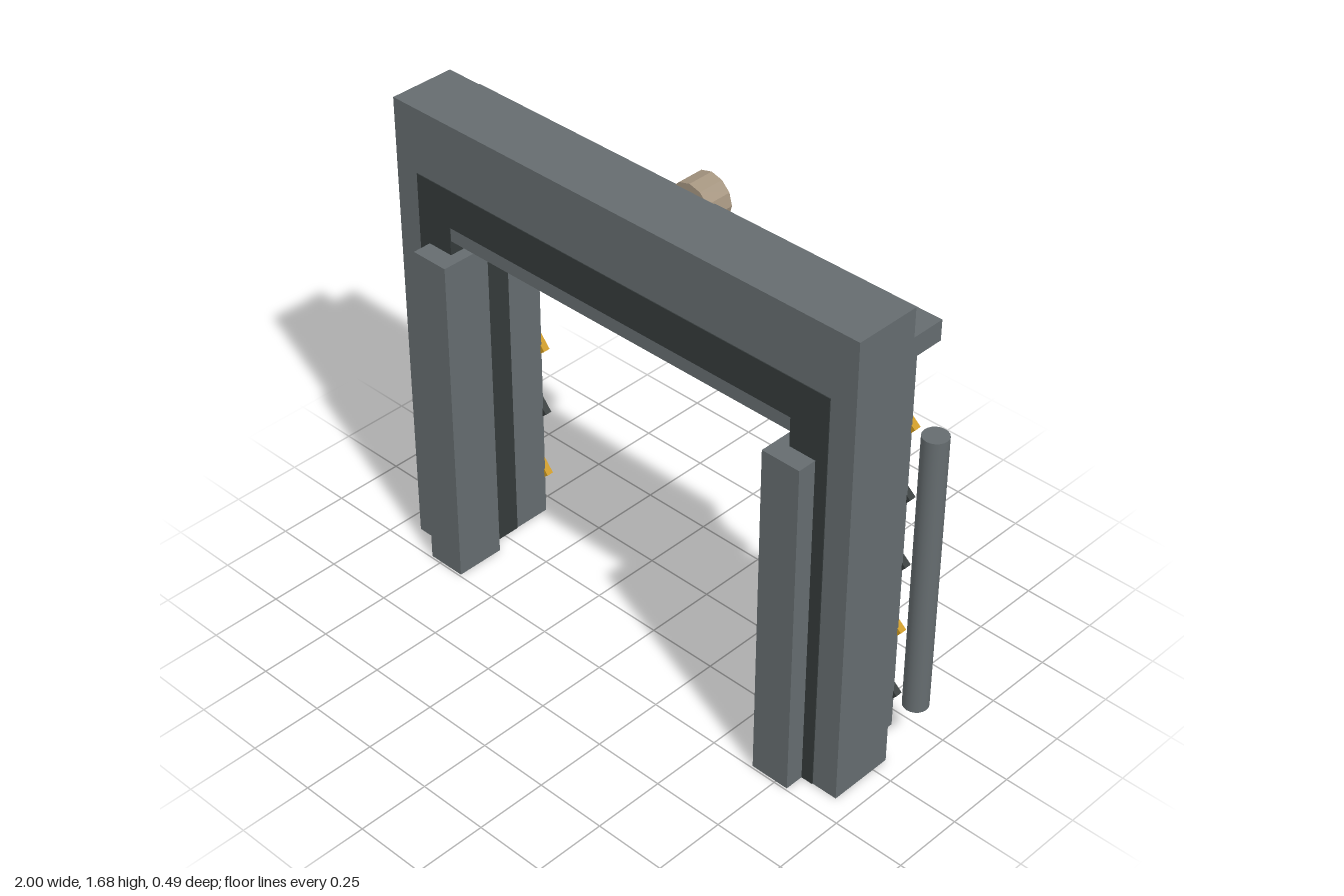
import * as THREE from 'three';

const mat = (name, color) => {
  const m = new THREE.MeshStandardMaterial({ color });
  m.name = name;
  return m;
};

export function createModel() {
  const grey = mat('steelGrey', 0x656c6f);
  const dark = mat('darkGrey', 0x343a3a);
  const yellow = mat('warningYellow', 0xcb981f);
  const tan = mat('lampTan', 0xa59580);
  const group = new THREE.Group();

  const add = (name, geometry, material, parent = group) => {
    const mesh = new THREE.Mesh(geometry, material);
    mesh.name = name;
    parent.add(mesh);
    return mesh;
  };
  // Box given by its lower and upper corners
  const box = (name, x0, x1, y0, y1, z0, z1, material) => {
    const mesh = add(name, new THREE.BoxGeometry(x1 - x0, y1 - y0, z1 - z0), material);
    mesh.position.set((x0 + x1) / 2, (y0 + y1) / 2, (z0 + z1) / 2);
    return mesh;
  };
  // Upside-down U outline, extruded from z0 to z1
  const arch = (name, outer, inner, top, under, z0, z1, material) => {
    const shape = new THREE.Shape([
      [-outer, 0], [-inner, 0], [-inner, under], [inner, under],
      [inner, 0], [outer, 0], [outer, top], [-outer, top],
    ].map(([x, y]) => new THREE.Vector2(x, y)));
    const geometry = new THREE.ExtrudeGeometry(shape, { depth: z1 - z0, bevelEnabled: false });
    geometry.translate(0, 0, z0);
    return add(name, geometry, material);
  };

  // Main frame
  box('lintel', -0.7, 0.7, 1.265, 1.68, -0.06, 0.173, grey);
  arch('darkLiner', 0.838, 0.698, 1.45, 1.315, -0.058, 0.176, dark);
  arch('rearArch', 0.84, 0.7, 1.45, 1.31, -0.195, -0.06, grey);
  box('rearRail', -0.93, 0.93, 1.51, 1.58, -0.18, -0.06, grey);

  // Lamp on the rear rail
  const lamp = add('lamp', new THREE.CylinderGeometry(0.083, 0.083, 0.095, 12).toNonIndexed(), tan);
  lamp.geometry.computeVertexNormals();
  lamp.rotation.x = Math.PI / 2;
  lamp.position.set(0, 1.546, -0.1975);

  // Warning plate colours from top to bottom; a pair splits the plate along its length
  const plateColours = {
    1: [[yellow], [dark], [yellow, dark], [yellow], [dark]],
    '-1': [[dark], [yellow], [yellow], [dark], [yellow]],
  };

  for (const s of [1, -1]) {
    const side = s > 0 ? 'left' : 'right';
    const span = (a, b) => (s > 0 ? [a, b] : [-b, -a]);
    box(side + 'Post', ...span(0.7, 0.93), 0, 1.68, -0.06, 0.173, grey);
    box(side + 'FrontPillar', ...span(0.655, 0.795), 0, 1.215, 0.065, 0.243, grey);

    const tube = add(side + 'SideTube', new THREE.CylinderGeometry(0.042, 0.042, 1.02, 20), grey);
    tube.position.set(s * 0.958, 0.7, -0.153);

    // Tilted warning plates on the rear face of the post
    plateColours[s].forEach((colours, i) => {
      const plate = new THREE.Group();
      plate.name = side + 'WarningPlate' + (i + 1);
      const width = 0.15 / colours.length;
      colours.forEach((material, k) => {
        const part = add('plateFace', new THREE.BoxGeometry(width, 0.088, 0.025), material, plate);
        part.position.x = (k - (colours.length - 1) / 2) * width;
      });
      plate.rotation.z = -s * 0.7;
      plate.position.set(s * 0.769, 1.167 - i * 0.256, -0.2035);
      group.add(plate);
    });
  }
  return group;
}
